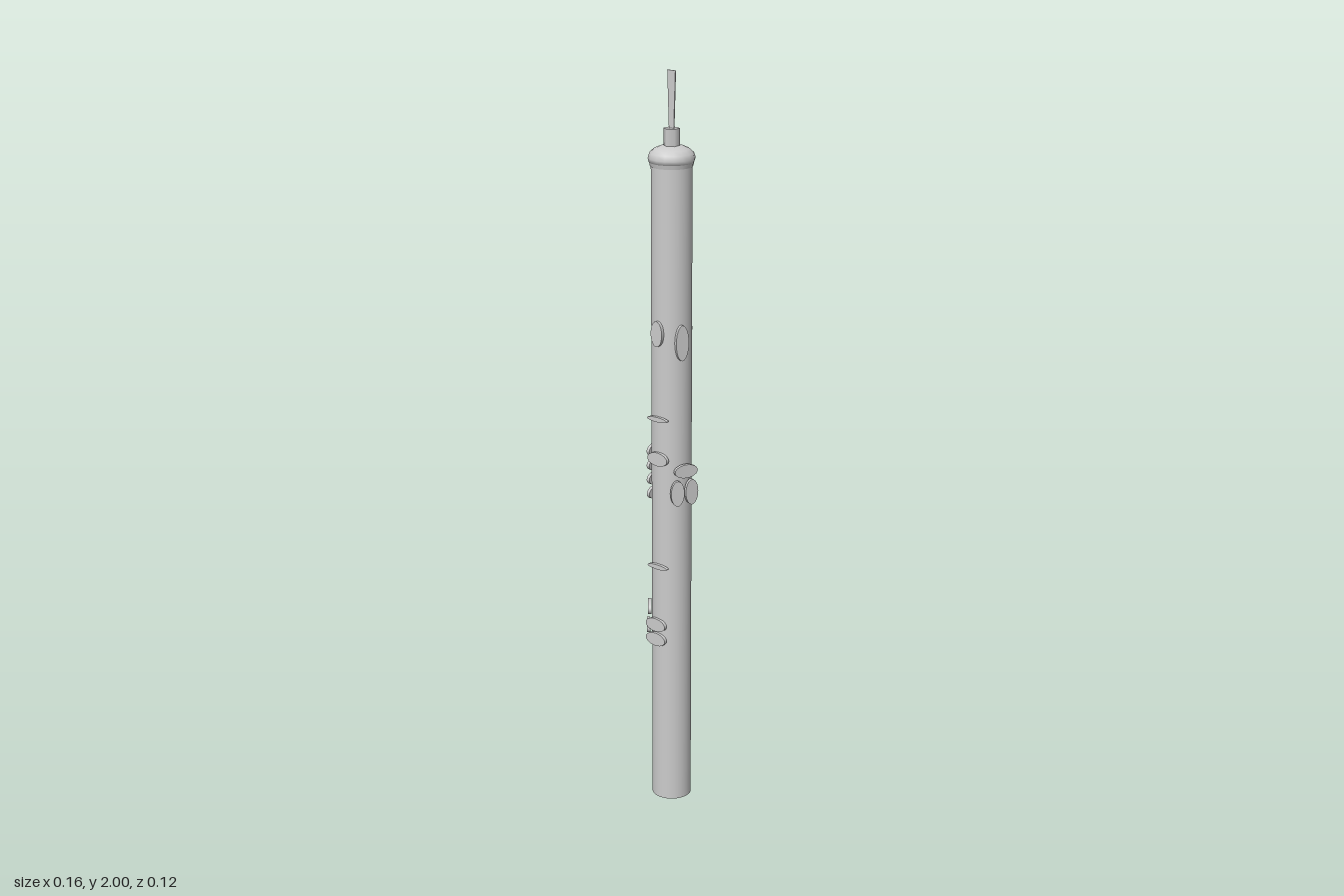
import * as THREE from 'three';

export function createModel() {
  const model = new THREE.Group();
  const material = new THREE.MeshStandardMaterial({ color: 0xcccccc, side: THREE.DoubleSide });
  const add = (name, geometry, x = 0, y = 0, z = 0) => {
    const mesh = new THREE.Mesh(geometry, material);
    mesh.name = name;
    mesh.position.set(x, y, z);
    model.add(mesh);
    return mesh;
  };

  // Long straight tube
  add('body', new THREE.CylinderGeometry(0.053, 0.053, 1.77, 32), 0, 0.885, 0);

  // Collar and rounded cap
  add('collar', new THREE.CylinderGeometry(0.058, 0.055, 0.014, 16), 0, 1.766, 0);
  const capProfile = [[0.05, 1.765], [0.058, 1.77], [0.061, 1.78], [0.057, 1.793],
    [0.046, 1.803], [0.03, 1.81], [0, 1.814]];
  add('cap', new THREE.LatheGeometry(capProfile.map(([r, y]) => new THREE.Vector2(r, y)), 16));

  // Hexagonal socket holding the flat, flared reed
  add('reedSocket', new THREE.CylinderGeometry(0.021, 0.021, 0.05, 6), 0, 1.83, 0);
  const reed = new THREE.BoxGeometry(0.026, 0.15, 0.003);
  const pos = reed.attributes.position;
  for (let i = 0; i < pos.count; i++) if (pos.getY(i) < 0) pos.setX(i, pos.getX(i) * 0.6);
  add('reed', reed, 0, 1.925, 0);

  // Oval key plate; the angle turns it from facing +z towards +x
  const key = (name, x, y, z, degrees, width, height) => {
    const plate = new THREE.CylinderGeometry(0.5, 0.5, 0.009, 24).rotateX(Math.PI / 2);
    plate.scale(width, height, 1).rotateY(THREE.MathUtils.degToRad(degrees));
    add(name, plate, x, y, z);
  };

  // Upper keys
  key('upperFrontKey', -0.002, 1.33, 0.056, 0, 0.037, 0.068);
  key('upperBackKey', 0, 1.325, -0.058, 180, 0.037, 0.07);
  key('upperSideKey', 0.052, 1.308, 0.022, 67, 0.037, 0.095);

  // Front keys
  for (const y of [1.1, 0.687]) key('slimFrontKey', 0, y, 0.057, 0, 0.066, 0.013);
  key('middleFrontKey', 0, 0.99, 0.056, 0, 0.066, 0.037);
  for (const y of [0.517, 0.475]) key('lowerFrontKey', -0.008, y, 0.056, 0, 0.066, 0.037);

  // Cluster on the left side
  key('leftWideKey', 0.061, 0.96, 0.016, 65, 0.066, 0.037);
  key('leftTallKey', 0.05, 0.9, 0.037, 57, 0.037, 0.07);
  key('leftTallKey', 0.067, 0.9, 0, 68, 0.037, 0.07);

  // Column on the right side and the angled pair below it
  for (let i = 0; i < 4; i++) key('rightKey', -0.056, 0.872 + i * 0.04, -0.002, -90, 0.066, 0.037);
  for (const [x, y] of [[-0.05, 0.552], [-0.054, 0.497]]) key('lowerRightKey', x, y, 0.033, -50, 0.066, 0.037);

  return model;
}
